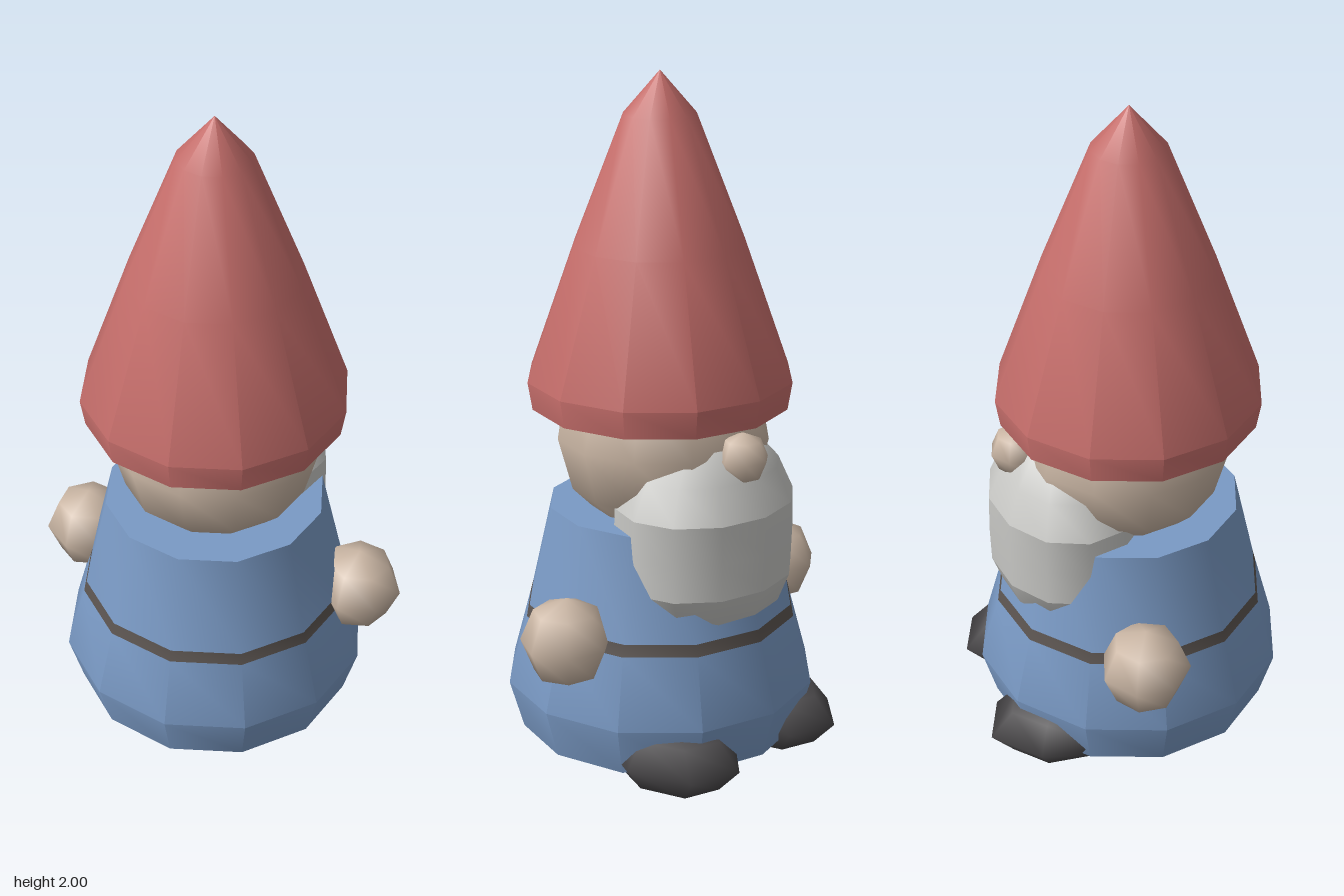
import * as THREE from 'three';
import { toCreasedNormals } from 'three/addons/utils/BufferGeometryUtils.js';

function material(name, color, extra = {}) {
  const m = new THREE.MeshStandardMaterial({ color, ...extra });
  m.name = name;
  return m;
}

export function createModel() {
  const group = new THREE.Group();
  const red = material('hatRed', 0xc66e6b);
  const blue = material('coatBlue', 0x7a9ac5);
  const skin = material('skin', 0xcbb7a5);
  const grey = material('beardGrey', 0xc8c8c5);
  const dark = material('shoeDark', 0x4a484a);
  const brown = material('beltBrown', 0x5b5450);

  function add(name, geometry, mat, x, y, z) {
    const mesh = new THREE.Mesh(geometry, mat);
    mesh.name = name;
    mesh.position.set(x, y, z);
    group.add(mesh);
    return mesh;
  }

  // Twelve-sided turned form, smooth around but sharp at the rims
  function turned(profile) {
    const points = profile.map(([r, y]) => new THREE.Vector2(r, y));
    return toCreasedNormals(new THREE.LatheGeometry(points, 12), 0.7);
  }

  // Coarse seven-sided ball with one corner towards +x
  function ball(rx, ry, rz) {
    return new THREE.SphereGeometry(1, 7, 4).rotateY(Math.PI).scale(rx, ry, rz);
  }

  // Coat in two pieces with the belt between them
  const cx = -0.007, cz = 0.012;
  add('coatSkirt', turned([[0, 0.08], [0.417, 0.08], [0.458, 0.225], [0.402, 0.43]]), blue, cx, 0, cz);
  add('belt', turned([[0.402, 0.43], [0.393, 0.465]]), brown, cx, 0, cz);
  add('coatTop', turned([[0.393, 0.465], [0.325, 0.76], [0, 0.76]]), blue, cx, 0, cz);

  // Head and pointed hat
  add('head', new THREE.SphereGeometry(0.31, 12, 6), skin, -0.008, 0.97, 0);
  add('hat', turned([[0, 1.06], [0.372, 1.06], [0.385, 1.14], [0.248, 1.52], [0.105, 1.88], [0, 2]]), red, cx, 0, cz);

  // Beard and nose on the face side (-z)
  const beard = turned([[0, 0.4], [0.55, 0.43], [0.86, 0.51], [0.985, 0.59], [1, 0.7],
    [0.99, 0.81], [0.82, 0.91], [0.56, 0.99], [0, 1.02]]);
  const beardMesh = add('beard', beard, grey, -0.005, 0, -0.17);
  beardMesh.scale.set(0.285, 1, 0.235);
  add('nose', ball(0.075, 0.075, 0.075), skin, 0, 0.965, -0.318);

  // Hands and shoes
  for (const [side, hx, sx] of [['left', 0.425, 0.2], ['right', -0.44, -0.21]]) {
    add(side + 'Hand', ball(0.13, 0.13, 0.13), skin, hx, 0.462, -0.048);
    add(side + 'Shoe', ball(0.175, 0.105, 0.235), dark, sx, 0.11, -0.24);
  }
  return group;
}
